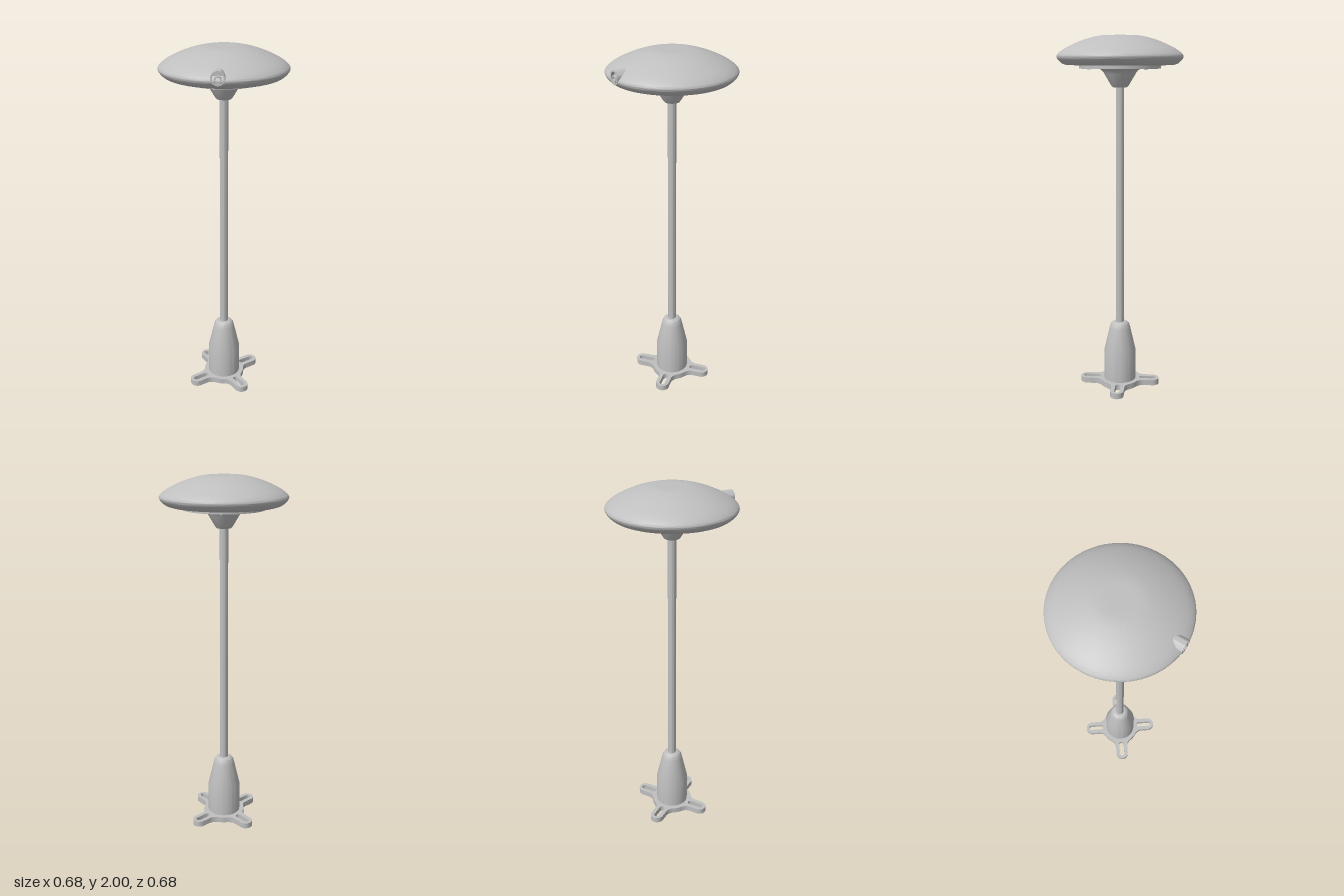
import * as THREE from 'three';
import { toCreasedNormals } from 'three/addons/utils/BufferGeometryUtils.js';

const grey = new THREE.MeshStandardMaterial({ color: 0xbfbfbf });
grey.name = 'satin grey';

function add(parent, name, geometry, crease = 0.5) {
  const mesh = new THREE.Mesh(toCreasedNormals(geometry, crease), grey);
  mesh.name = name;
  parent.add(mesh);
  return mesh;
}

// Turned part from [radius, height] pairs, listed bottom to top
function turned(points, segments = 64) {
  return new THREE.LatheGeometry(points.map(([r, y]) => new THREE.Vector2(r, y)), segments);
}

// Four-armed mounting foot with a slot in each arm
function footGeometry() {
  const hub = 0.118, half = 0.038, tip = 0.192, fillet = 0.62;
  const shape = new THREE.Shape();
  for (let i = 0; i < 4; i++) {
    const a = i * Math.PI / 2;
    const at = (x, y) => [x * Math.cos(a) - y * Math.sin(a), x * Math.sin(a) + y * Math.cos(a)];
    const hx = hub * Math.cos(fillet), hy = hub * Math.sin(fillet);
    if (i === 0) shape.moveTo(...at(hx, -hy));
    shape.quadraticCurveTo(...at(0.115, -half), ...at(0.145, -half));
    shape.lineTo(...at(tip, -half));
    shape.absarc(...at(tip, 0), half, a - Math.PI / 2, a + Math.PI / 2, false);
    shape.lineTo(...at(0.145, half));
    shape.quadraticCurveTo(...at(0.115, half), ...at(hx, hy));
    shape.absarc(0, 0, hub, a + fillet, a + Math.PI / 2 - fillet, false);

    const slot = new THREE.Path();
    slot.absarc(...at(0.13, 0), 0.015, a + Math.PI / 2, a + Math.PI * 1.5, false);
    slot.absarc(...at(0.198, 0), 0.015, a - Math.PI / 2, a + Math.PI / 2, false);
    slot.closePath();
    shape.holes.push(slot);
  }
  const g = new THREE.ExtrudeGeometry(shape, { depth: 0.033, bevelEnabled: false, curveSegments: 16 });
  return g.rotateX(-Math.PI / 2);
}

export function createModel() {
  const model = new THREE.Group();
  model.name = 'poleAntenna';

  // Foot, tapered socket and pole
  add(model, 'mountingFoot', footGeometry());
  add(model, 'socket', turned([
    [0.093, 0.03], [0.093, 0.2], [0.06, 0.345], [0.056, 0.36], [0.048, 0.373],
    [0.036, 0.381], [0.023, 0.382], [0, 0.382]
  ]), 0.4);
  add(model, 'pole', new THREE.CylinderGeometry(0.023, 0.023, 1.38, 32).translate(0, 1.05, 0));

  // Flared collar and round plate under the dome
  add(model, 'collar', turned([
    [0, 1.727], [0.04, 1.727], [0.047, 1.735], [0.083, 1.795], [0.09, 1.808],
    [0.1, 1.818], [0.115, 1.826], [0.118, 1.83]
  ]), 0.7);
  add(model, 'basePlate', new THREE.CylinderGeometry(0.222, 0.222, 0.024, 64).translate(0, 1.838, 0));

  // Small screws around the plate
  for (let i = 0; i < 4; i++) {
    const a = i * Math.PI / 2 + Math.PI / 4;
    add(model, 'plateScrew', new THREE.CylinderGeometry(0.009, 0.009, 0.008, 12)
      .translate(0.21 * Math.cos(a), 1.826, 0.21 * Math.sin(a)));
  }

  // Dome: flat underside, rounded rim, shallow crown
  const rim = new THREE.SplineCurve([
    [0.29, 1.845], [0.312, 1.853], [0.332, 1.871], [0.341, 1.888], [0.334, 1.903],
    [0.308, 1.924], [0.27, 1.945], [0.22, 1.967], [0.17, 1.984], [0.12, 1.996], [0.075, 2], [0, 2]
  ].map(([r, y]) => new THREE.Vector2(r, y)));
  const profile = [[0, 1.845], ...rim.getPoints(48).map(p => [Math.max(p.x, 0), Math.min(p.y, 2)])];
  add(model, 'dome', turned(profile, 96), 0.7);

  // Side connector: hooded sleeve with a socket inside, local +z pointing outward
  const connector = new THREE.Group();
  connector.name = 'sideConnector';
  connector.position.y = 1.905;
  connector.rotation.y = -0.655;
  model.add(connector);
  add(connector, 'connectorHood', turned([
    [0.036, 0.22], [0.036, 0.342], [0.029, 0.342], [0.029, 0.322], [0, 0.322]
  ], 32).rotateX(Math.PI / 2));
  add(connector, 'connectorSocket', turned([
    [0.019, 0.3], [0.019, 0.343], [0.012, 0.343], [0.012, 0.326], [0, 0.326]
  ], 24).rotateX(Math.PI / 2).translate(0, -0.008, 0));

  return model;
}
